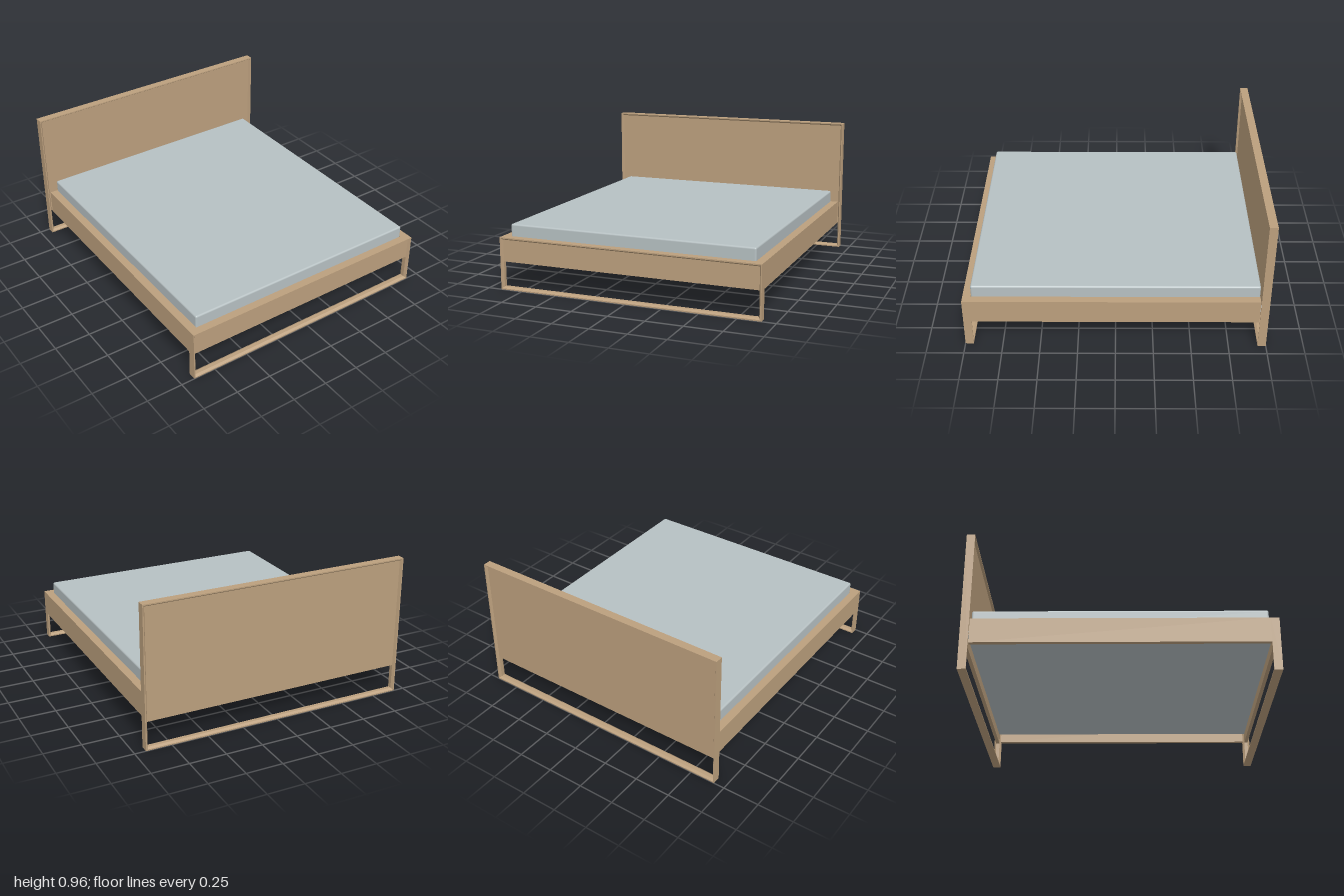
import * as THREE from 'three';
import { RoundedBoxGeometry } from 'three/addons/geometries/RoundedBoxGeometry.js';

const DEPTH = 0.055; // depth of both end frames
const BAR = 0.018;   // bar thickness at its inner edge
const PANEL = 0.025; // panel thickness
const RAIL_BOTTOM = 0.19;
const BED_TOP = 0.357;

// Mitred rectangular frame whose bars taper from a thin lip in to the panel
function frameGeometry(halfWidth, height) {
  const d = DEPTH / 2, m = PANEL / 2, lip = 0.008;
  const profile = [[0, -d], [0, d], [lip, d], [BAR, m], [BAR, -m], [lip, -d]];
  const corners = [[-1, 0], [1, 0], [1, 1], [-1, 1]];
  const point = (i, j) => {
    const [inset, z] = profile[i % profile.length];
    const [sx, top] = corners[j % 4];
    return [sx * (halfWidth - inset), top ? height - inset : inset, z];
  };
  const positions = [];
  for (let i = 0; i < profile.length; i++) {
    for (let j = 0; j < 4; j++) {
      const a = point(i, j), b = point(i, j + 1), c = point(i + 1, j + 1), e = point(i + 1, j);
      positions.push(...a, ...b, ...c, ...a, ...c, ...e);
    }
  }
  const geometry = new THREE.BufferGeometry();
  geometry.setAttribute('position', new THREE.Float32BufferAttribute(positions, 3));
  geometry.computeVertexNormals();
  return geometry;
}

export function createModel() {
  const wood = new THREE.MeshStandardMaterial({ name: 'wood', color: 0xbb9f7d });
  const fabric = new THREE.MeshStandardMaterial({ name: 'mattress fabric', color: 0xb6c0c2 });
  const model = new THREE.Group();
  model.name = 'bed';

  const add = (parent, name, geometry, material, x, y, z) => {
    const mesh = new THREE.Mesh(geometry, material);
    mesh.name = name;
    mesh.position.set(x, y, z);
    parent.add(mesh);
  };

  // End frame with a recessed panel filling its upper part
  const addEnd = (name, halfWidth, height, z) => {
    const end = new THREE.Group();
    end.name = name;
    end.position.z = z;
    model.add(end);
    add(end, name + 'Frame', frameGeometry(halfWidth, height), wood, 0, 0, 0);
    const panelHeight = height - BAR - RAIL_BOTTOM;
    add(end, name + 'Panel', new THREE.BoxGeometry(2 * (halfWidth - BAR), panelHeight, PANEL),
      wood, 0, RAIL_BOTTOM + panelHeight / 2, 0);
  };
  addEnd('headboard', 0.925, 0.962, -1 + DEPTH / 2);
  addEnd('footboard', 0.905, BED_TOP, 1 - DEPTH / 2);

  // Side rails: a thin board with a ledge along its upper inner edge
  const railLength = 2 - 2 * DEPTH, railHeight = BED_TOP - RAIL_BOTTOM, baseTop = 0.285;
  for (const side of [-1, 1]) {
    const rail = new THREE.Group();
    rail.name = side > 0 ? 'leftRail' : 'rightRail';
    model.add(rail);
    add(rail, 'railBoard', new THREE.BoxGeometry(0.03, railHeight, railLength),
      wood, side * 0.89, RAIL_BOTTOM + railHeight / 2, 0);
    add(rail, 'railLedge', new THREE.BoxGeometry(0.025, BED_TOP - baseTop, railLength),
      wood, side * 0.8625, (BED_TOP + baseTop) / 2, 0);
  }

  // Base filling the space between rails and end panels, with the mattress on it
  add(model, 'mattressBase', new THREE.BoxGeometry(1.75, 0.03, 1.92), fabric, 0, baseTop - 0.015, 0);
  add(model, 'mattress', new RoundedBoxGeometry(1.7, 0.17, 1.888, 3, 0.012), fabric, 0, 0.355, 0);

  return model;
}
